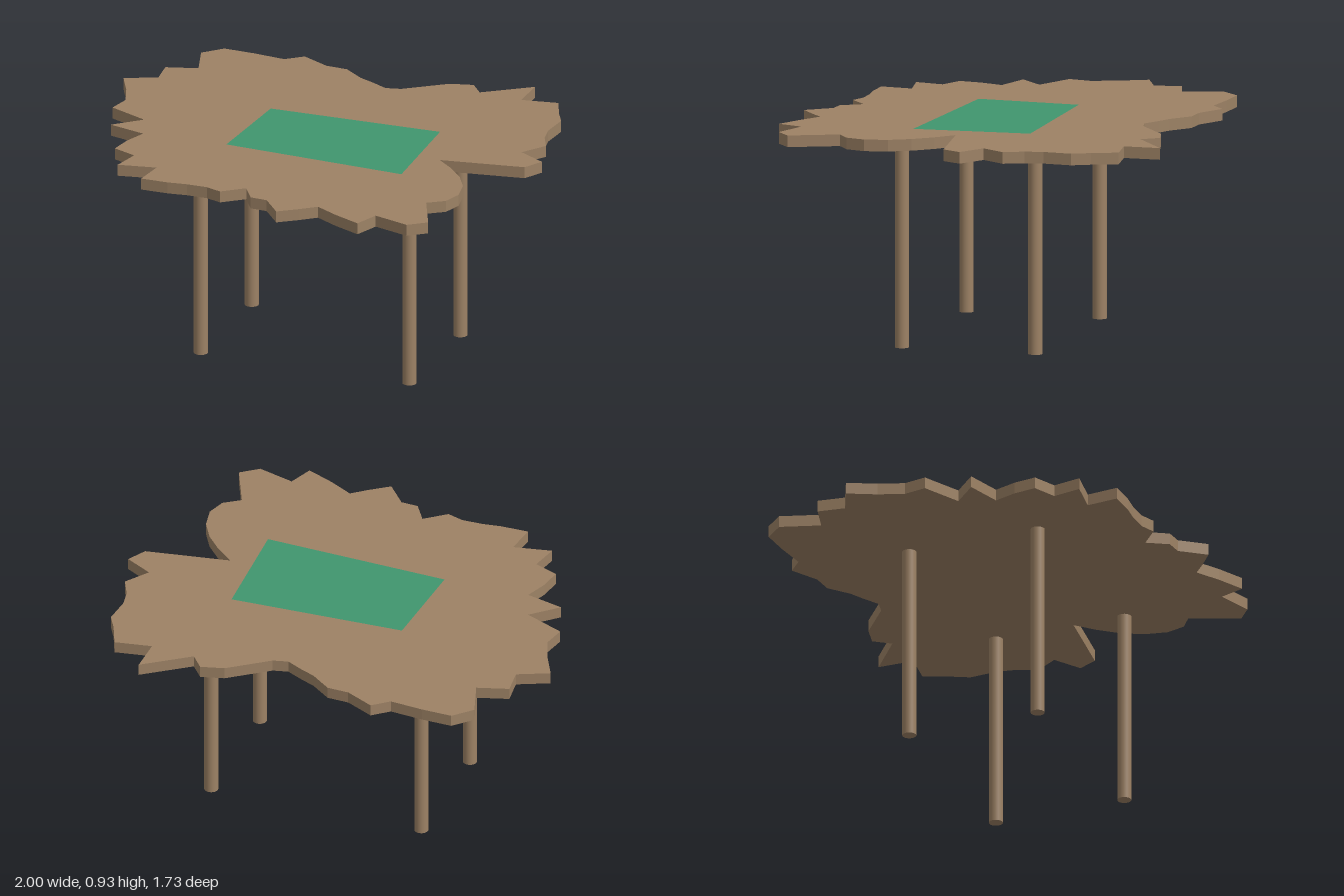
import * as THREE from 'three';

// Ragged outline of the table top as x, z pairs
const OUTLINE = [
  -0.725, -0.79, -0.59, -0.785, -0.445, -0.77, -0.375, -0.83, -0.25, -0.765, -0.155, -0.76,
  -0.065, -0.69, 0, -0.66, 0.075, -0.62, 0.14, -0.635, 0.31, -0.765, 0.41, -0.79,
  0.465, -0.72, 0.66, -0.865, 0.66, -0.705, 0.82, -0.73, 0.865, -0.62, 0.905, -0.545,
  0.895, -0.42, 0.91, -0.34, 0.95, -0.255, 0.88, -0.15, 1, -0.08, 0.955, 0.005,
  0.59, 0.06, 0.67, 0.13, 0.74, 0.21, 0.79, 0.3, 0.81, 0.4, 0.785, 0.485,
  0.715, 0.535, 0.805, 0.74, 0.73, 0.8, 0.57, 0.75, 0.53, 0.86, 0.41, 0.805,
  0.305, 0.745, 0.24, 0.8, 0.16, 0.86, 0.075, 0.755, 0, 0.75, -0.055, 0.66,
  -0.145, 0.735, -0.215, 0.71, -0.305, 0.71, -0.39, 0.72, -0.51, 0.72, -0.495, 0.58,
  -0.66, 0.61, -0.635, 0.485, -0.74, 0.44, -0.725, 0.34, -0.69, 0.24, -0.855, 0.195,
  -0.745, 0.09, -0.92, 0.01, -0.9, -0.09, -0.94, -0.2, -1, -0.32, -0.865, -0.38,
  -0.88, -0.5, -0.745, -0.54, -0.8, -0.71,
];
const PANEL = [-0.29, -0.22, 0.475, -0.235, 0.5, 0.275, -0.315, 0.23];

// Shape lying on the ground plane once rotated by -90 degrees about x
function groundShape(xz) {
  const points = [];
  for (let i = 0; i < xz.length; i += 2) points.push(new THREE.Vector2(xz[i], -xz[i + 1]));
  return new THREE.Shape(points);
}

export function createModel() {
  const group = new THREE.Group();
  const wood = new THREE.MeshStandardMaterial({ color: 0x9d8265 });
  const green = new THREE.MeshStandardMaterial({ color: 0x40966e, side: THREE.DoubleSide });

  const add = (name, geometry, material, x, y, z) => {
    const mesh = new THREE.Mesh(geometry, material);
    mesh.name = name;
    mesh.position.set(x, y, z);
    group.add(mesh);
  };

  // Slab with a jagged edge
  const slab = new THREE.ExtrudeGeometry(groundShape(OUTLINE), { depth: 0.05, bevelEnabled: false });
  add('tableTop', slab.rotateX(-Math.PI / 2), wood, 0, 0.88, 0);

  // Thin inlay on the slab
  const panel = new THREE.ShapeGeometry(groundShape(PANEL));
  add('greenPanel', panel.rotateX(-Math.PI / 2), green, 0, 0.932, 0);

  // Four round legs, stopping just short of the slab
  const leg = new THREE.CylinderGeometry(0.03, 0.03, 0.857, 24);
  for (const [side, x] of [['Right', -0.4], ['Left', 0.55]]) {
    for (const [end, z] of [['front', 0.31], ['back', -0.28]]) {
      add(`${end}${side}Leg`, leg, wood, x, 0.4285, z);
    }
  }
  return group;
}
